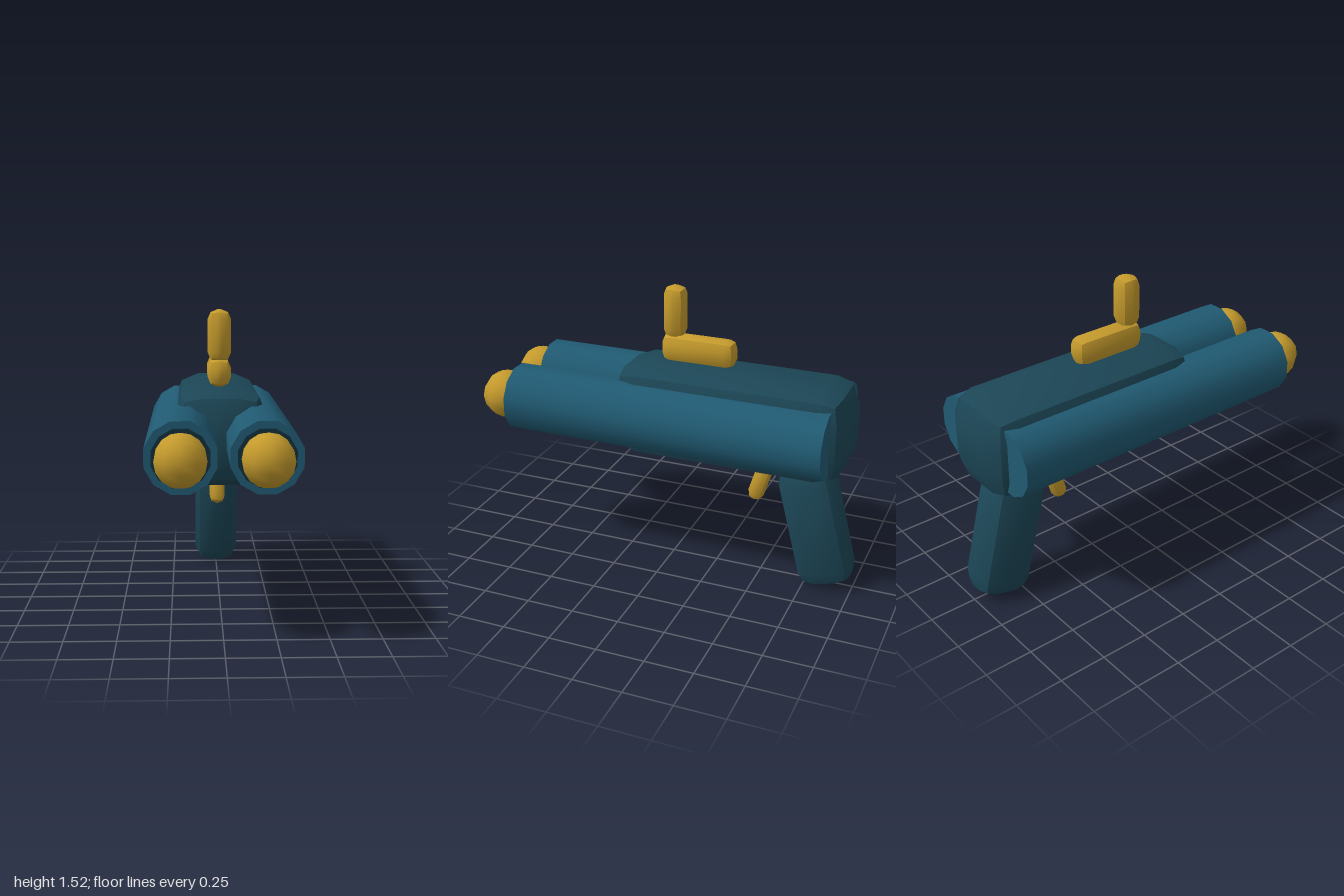
import * as THREE from 'three';
import { toCreasedNormals } from 'three/addons/utils/BufferGeometryUtils.js';
import { RoundedBoxGeometry } from 'three/addons/geometries/RoundedBoxGeometry.js';

const mat = (color) => new THREE.MeshStandardMaterial({ color });
const CREASE = 0.62;

export function createModel() {
  const group = new THREE.Group();
  const bodyMat = mat(0x1c4656);
  const barrelMat = mat(0x205a72);
  const ringMat = mat(0x122e3a);
  const goldMat = mat(0xc49a2c);

  const add = (name, geometry, material, x, y, z, tilt = 0) => {
    const mesh = new THREE.Mesh(geometry, material);
    mesh.name = name;
    mesh.position.set(x, y, z);
    mesh.rotation.x = tilt;
    group.add(mesh);
    return mesh;
  };

  // Box whose edges are cut by two facets, sharp along the middle of each edge
  const bevelBox = (w, h, d, r) => toCreasedNormals(new RoundedBoxGeometry(w, h, d, 1, r), CREASE);

  // Twelve-sided cylinder along z with flat sides up and outwards
  const tube = (radius, length) => toCreasedNormals(
    new THREE.CylinderGeometry(radius, radius, length, 12, 1, false, Math.PI / 12).rotateX(Math.PI / 2), CREASE);

  // Body, grip and trigger
  add('body', bevelBox(0.48, 0.495, 1.23, 0.14), bodyMat, 0, 0.872, -0.335);
  add('grip', bevelBox(0.244, 0.668, 0.3, 0.09), bodyMat, 0, 0.338, -0.792, 0.245);
  add('trigger', bevelBox(0.084, 0.216, 0.085, 0.038), goldMat, 0, 0.516, -0.481, -0.3);

  // Sight: a bar lying on the body and a post standing on its front end
  add('sightBar', bevelBox(0.12, 0.147, 0.395, 0.05), goldMat, 0, 1.191, -0.138);
  add('sightPost', bevelBox(0.12, 0.27, 0.12, 0.05), goldMat, 0, 1.38, -0.008);

  // Pair of barrels, each with a muzzle ring and a round tip
  for (const [side, s] of [['left', 1], ['right', -1]]) {
    const x = s * 0.197;
    add(side + 'Barrel', tube(0.174, 1.68), barrelMat, x, 0.872, -0.04);
    add(side + 'MuzzleRing', tube(0.139, 0.1), ringMat, x, 0.872, 0.768);
    const tip = new THREE.SphereGeometry(0.126, 10, 8).rotateY(Math.PI / 10);
    add(side + 'Tip', tip, goldMat, x, 0.872, 0.873);
  }
  return group;
}
